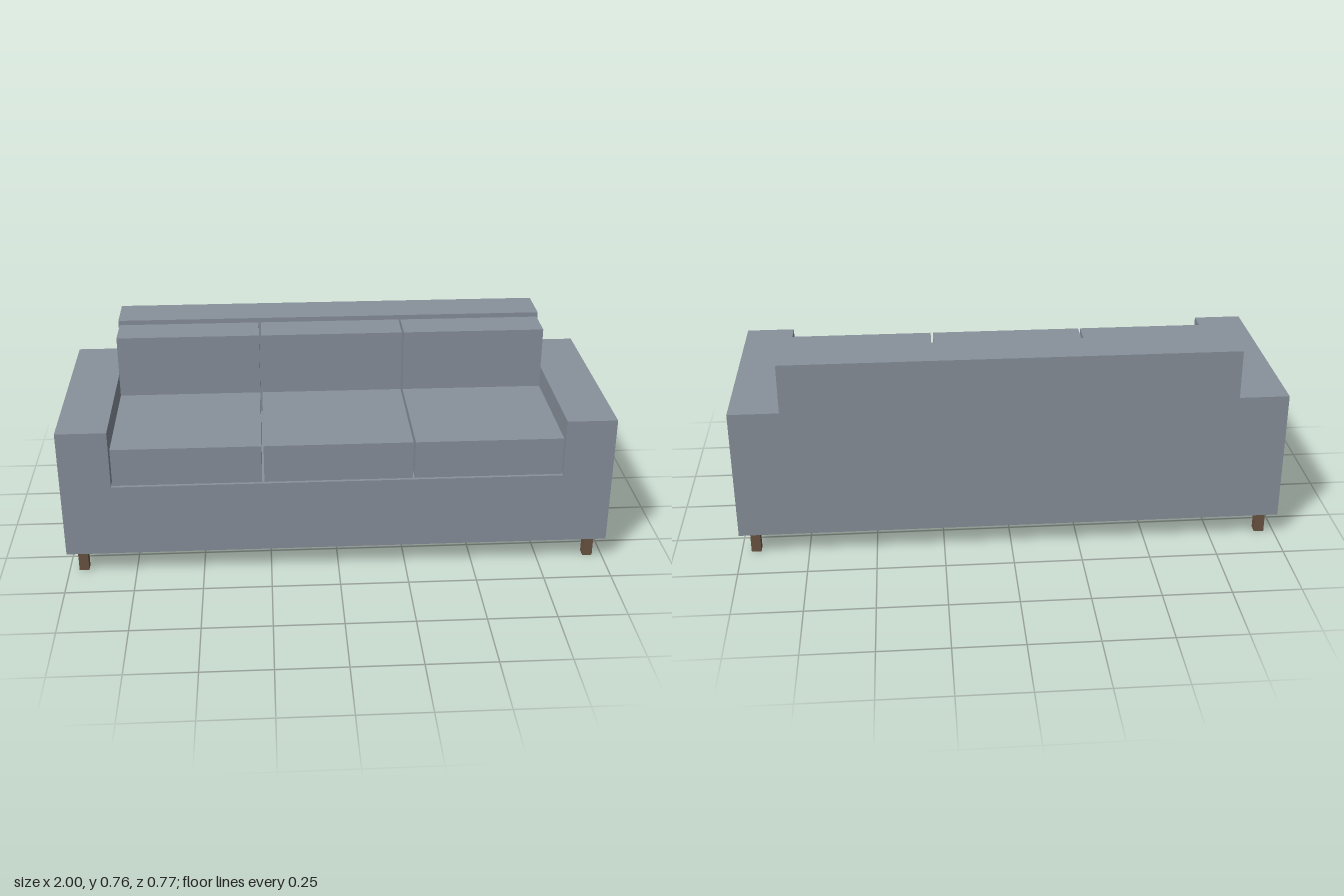
import * as THREE from 'three';

export function createModel() {
  const sofa = new THREE.Group();
  sofa.name = 'sofa';

  const fabric = new THREE.MeshStandardMaterial({ color: 0x88919c });
  fabric.name = 'grey fabric';
  const wood = new THREE.MeshStandardMaterial({ color: 0x6b5443 });
  wood.name = 'brown wood';

  const halfDepth = 0.386, inner = 0.818, bottom = 0.092;
  const armTop = 0.583, seatTop = 0.366, backFront = -0.224;

  // Box given by its lower and upper corners
  function box(name, material, [x0, y0, z0], [x1, y1, z1]) {
    const mesh = new THREE.Mesh(new THREE.BoxGeometry(x1 - x0, y1 - y0, z1 - z0), material);
    mesh.position.set((x0 + x1) / 2, (y0 + y1) / 2, (z0 + z1) / 2);
    mesh.name = name;
    sofa.add(mesh);
  }

  // Base and both arms as one U-shaped body
  const outline = new THREE.Shape([
    [-1, bottom], [1, bottom], [1, armTop], [inner, armTop],
    [inner, seatTop], [-inner, seatTop], [-inner, armTop], [-1, armTop],
  ].map(([x, y]) => new THREE.Vector2(x, y)));
  const bodyGeometry = new THREE.ExtrudeGeometry(outline, { depth: 2 * halfDepth, bevelEnabled: false });
  bodyGeometry.translate(0, 0, -halfDepth);
  const body = new THREE.Mesh(bodyGeometry, fabric);
  body.name = 'baseAndArms';
  sofa.add(body);

  // Backrest between the arms
  box('backrest', fabric, [-inner, seatTop, -halfDepth], [inner, 0.765, backFront]);

  // Three seat cushions and three back cushions with narrow gaps
  const pitch = (2 * inner) / 3, gap = 0.004;
  for (let i = 0; i < 3; i++) {
    const x0 = -inner + i * pitch + gap, x1 = -inner + (i + 1) * pitch - gap;
    box('seatCushion' + (i + 1), fabric, [x0, seatTop, backFront], [x1, 0.51, 0.374]);
    box('backCushion' + (i + 1), fabric, [x0, 0.51, backFront], [x1, 0.747, -0.088]);
  }

  // Four square legs
  for (const x of [-0.946, 0.946]) {
    for (const z of [-0.332, 0.332]) {
      box('leg', wood, [x - 0.018, 0, z - 0.018], [x + 0.018, bottom, z + 0.018]);
    }
  }

  return sofa;
}
